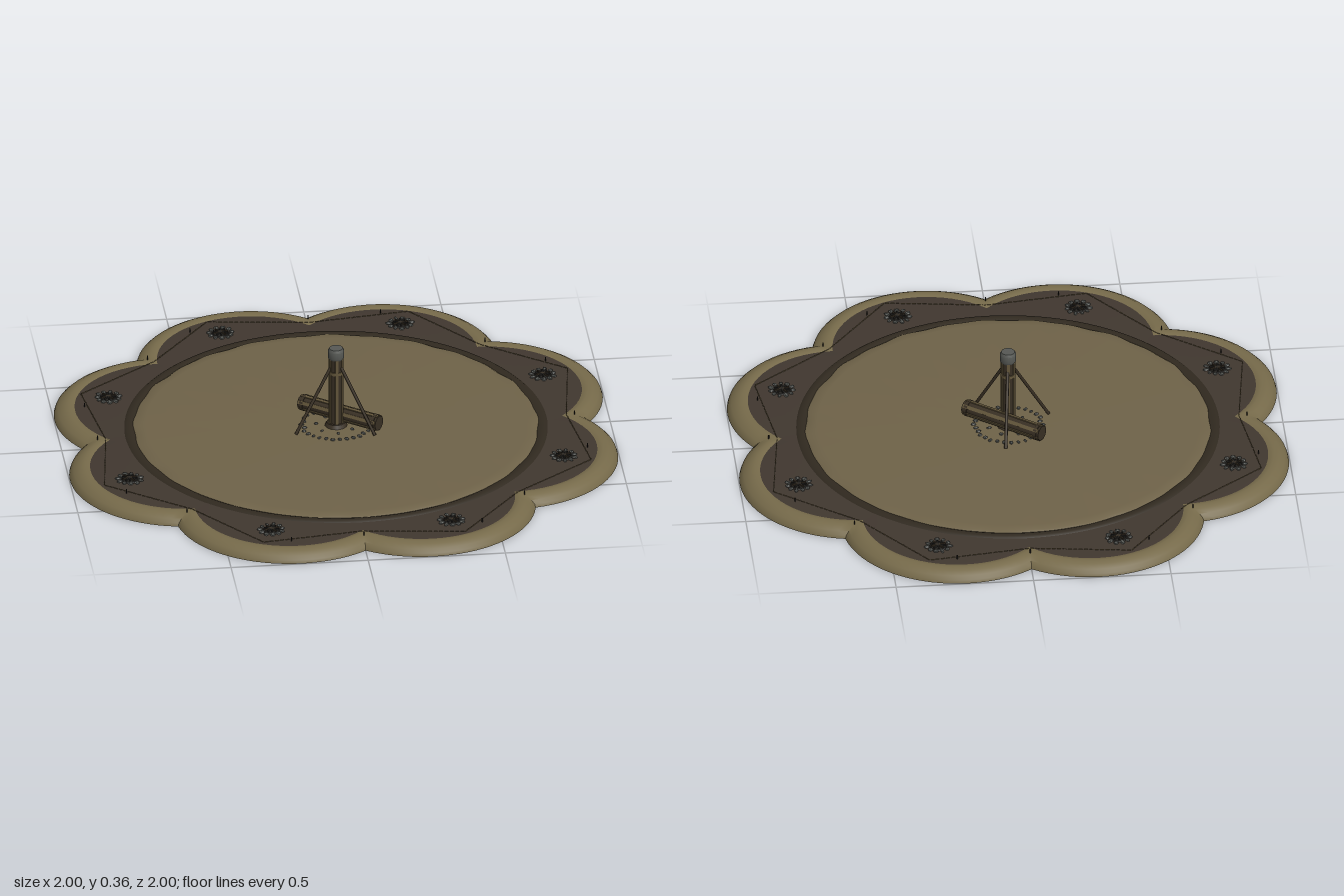
import * as THREE from 'three';
import { toCreasedNormals } from 'three/addons/utils/BufferGeometryUtils.js';

const mat = (name, color) => {
  const m = new THREE.MeshStandardMaterial({ color });
  m.name = name;
  return m;
};

export function createModel() {
  const model = new THREE.Group();
  const sand = mat('sand', 0x6e6248);
  const rimTan = mat('rim tan', 0x766a4a);
  const earth = mat('dark earth', 0x40372f);
  const trench = mat('trench brown', 0x30291f);
  const wood = mat('dark wood', 0x382f23);
  const woodLight = mat('light wood', 0x62553a);
  const stone = mat('stone grey', 0x565854);
  const soot = mat('soot', 0x24221f);

  const add = (name, geo, material, parent = model) => {
    const m = new THREE.Mesh(geo, material);
    m.name = name;
    parent.add(m);
    return m;
  };
  let seed = 7;
  const rand = () => (seed = (seed * 16807) % 2147483647) / 2147483647;
  const polar = (r, a, y) => new THREE.Vector3(r * Math.sin(a), y, r * Math.cos(a));

  // Eight overlapping circles make the scalloped outline
  const STEP = Math.PI / 4, SEG = 192;
  const scallop = (inset) => (a) => {
    const phi = (a % STEP) - STEP / 2, d = 0.628, r = 0.418 - inset;
    return d * Math.cos(phi) + Math.sqrt(r * r - (d * Math.sin(phi)) ** 2);
  };
  const circle = (r) => () => r;

  // Surface through rows of [radius rule, height]; outer to inner faces up
  const band = (rows) => {
    const pos = [], idx = [];
    rows.forEach(([rule, y], i) => {
      for (let j = 0; j < SEG; j++) {
        const a = (j / SEG) * Math.PI * 2;
        pos.push(...polar(rule(a), a, y).toArray());
        if (i === rows.length - 1) continue;
        const k = (j + 1) % SEG, p = i * SEG, q = p + SEG;
        idx.push(p + j, p + k, q + j, p + k, q + k, q + j);
      }
    });
    const g = new THREE.BufferGeometry();
    g.setAttribute('position', new THREE.Float32BufferAttribute(pos, 3));
    g.setIndex(idx);
    return toCreasedNormals(g, 0.7);
  };

  // Rounded scalloped rim
  const rimProfile = [[0, 0], [0.004, 0.012], [0.016, 0.024], [0.035, 0.035], [0.055, 0.04], [0.07, 0.037], [0.09, 0.028]];
  add('scallopedRim', band(rimProfile.map(([s, y]) => [scallop(s), y])), rimTan);

  // Dark ground between rim and centre, with the underside
  add('petalGround', band([[scallop(0.066), 0.034], [scallop(0.1), 0.036], [circle(0.74), 0.037]]), earth);
  add('petalUnderside', band([[circle(0.72), 0], [scallop(0), 0]]), earth);

  // Central floor, its underside and surrounding trench ring
  const wavy = (r) => (a) => r + 0.003 * Math.sin(a * 17) + 0.003 * Math.sin(a * 29 + 1);
  add('centralFloor', band([[wavy(0.737), 0.036], [wavy(0.725), 0.044], [circle(0.69), 0.046], [circle(0.0001), 0.046]]), sand);
  add('floorUnderside', band([[circle(0.0001), 0], [circle(0.72), 0]]), sand);
  add('trenchRing', band([[circle(0.768), 0.036], [circle(0.758), 0.043], [circle(0.742), 0.043], [circle(0.725), 0.036]]), trench);

  // Dashed stitch line zigzagging round the dark ground
  const dashes = new THREE.Group();
  dashes.name = 'stitchLine';
  model.add(dashes);
  const dashGeo = new THREE.BoxGeometry(0.003, 0.002, 0.014);
  for (let i = 0; i < 16; i++) {
    const corner = (n) => polar(n % 2 ? 0.96 : 0.84, (n * STEP) / 2, 0.039);
    const a = corner(i), b = corner(i + 1);
    for (let j = 0; j < 19; j++) {
      const m = add('stitch', dashGeo, woodLight, dashes);
      m.position.lerpVectors(a, b, (j + 0.5) / 19);
      m.rotation.y = Math.atan2(b.x - a.x, b.z - a.z);
    }
  }

  // Ring of small stones
  const pebble = new THREE.DodecahedronGeometry(1, 0);
  const stones = (parent, count, radius, size, y) => {
    for (let i = 0; i < count; i++) {
      const a = (i / count) * Math.PI * 2;
      const m = add('stone', pebble, stone, parent);
      m.position.copy(polar(radius * (0.95 + 0.1 * rand()), a, y));
      m.scale.set(size * (0.7 + 0.5 * rand()), size * 0.6, size * (0.9 + 0.5 * rand()));
      m.rotation.y = a;
    }
  };

  // A fire pit and thin peg in each petal, and a peg at each notch
  const pegGeo = new THREE.CylinderGeometry(0.002, 0.002, 0.045, 5);
  for (let i = 0; i < 8; i++) {
    const pit = new THREE.Group();
    pit.name = 'firePit';
    pit.position.copy(polar(0.857, (i + 0.5) * STEP, 0.037));
    model.add(pit);
    add('ash', new THREE.CylinderGeometry(0.03, 0.036, 0.006, 12), soot, pit);
    stones(pit, 11, 0.041, 0.009, 0.003);
    for (let j = 0; j < 5; j++) {
      const stick = add('charredStick', new THREE.BoxGeometry(0.005, 0.005, 0.055), j % 2 ? wood : soot, pit);
      stick.position.y = 0.007;
      stick.rotation.y = (j * Math.PI) / 5;
    }
    add('peg', pegGeo, soot).position.copy(polar(0.925, (i + 0.5) * STEP + 0.1, 0.03));
    add('peg', pegGeo, soot).position.copy(polar(0.87, i * STEP, 0.03));
  }

  // Stone circle around the post
  const hearth = new THREE.Group();
  hearth.name = 'stoneCircle';
  model.add(hearth);
  stones(hearth, 30, 0.122, 0.008, 0.048);
  stones(hearth, 7, 0.07, 0.007, 0.048);

  // Timber with lighter strips along its length, standing on its own base
  const timber = (name, radius, length) => {
    const g = new THREE.Group();
    g.name = name;
    add('core', toCreasedNormals(new THREE.CylinderGeometry(radius, radius, length, 12), 0.8), wood, g);
    for (let i = 0; i < 6; i++) {
      const strip = add('strip', new THREE.BoxGeometry(radius * 0.45, length * 0.98, 0.004), woodLight, g);
      strip.position.copy(polar(radius, (i * Math.PI) / 3, 0));
      strip.rotation.y = (i * Math.PI) / 3;
    }
    model.add(g);
    return g;
  };
  timber('post', 0.025, 0.28).position.y = 0.185;
  add('postFoot', new THREE.CylinderGeometry(0.034, 0.042, 0.015, 12), wood).position.y = 0.052;
  add('postCollar', new THREE.CylinderGeometry(0.028, 0.028, 0.012, 12), woodLight).position.y = 0.262;
  const cap = [[0, 0.315], [0.026, 0.315], [0.03, 0.322], [0.03, 0.348], [0.025, 0.358], [0, 0.358]];
  add('postCap', toCreasedNormals(new THREE.LatheGeometry(cap.map(([x, y]) => new THREE.Vector2(x, y)), 14), 0.6), stone);

  // Rod or log between two points
  const up = new THREE.Vector3(0, 1, 0);
  const align = (obj, a, b) => {
    obj.position.lerpVectors(a, b, 0.5);
    obj.quaternion.setFromUnitVectors(up, b.clone().sub(a).normalize());
  };

  // Three bracing legs
  for (let i = 0; i < 3; i++) {
    const angle = 3.0 + (i * Math.PI * 2) / 3;
    const a = polar(0.165, angle, 0.048), b = polar(0.022, angle, 0.285);
    align(add('braceLeg', new THREE.CylinderGeometry(0.006, 0.006, a.distanceTo(b), 8), wood), a, b);
  }

  // Log lying across the foot of the post, with end bands
  const logA = new THREE.Vector3(-0.112, 0.083, -0.128), logB = new THREE.Vector3(0.148, 0.083, 0.078);
  const log = timber('lyingLog', 0.028, logA.distanceTo(logB));
  align(log, logA, logB);
  for (const s of [-1, 1]) {
    add('endBand', new THREE.CylinderGeometry(0.031, 0.031, 0.014, 12), wood, log).position.y = s * 0.15;
  }
  return model;
}
